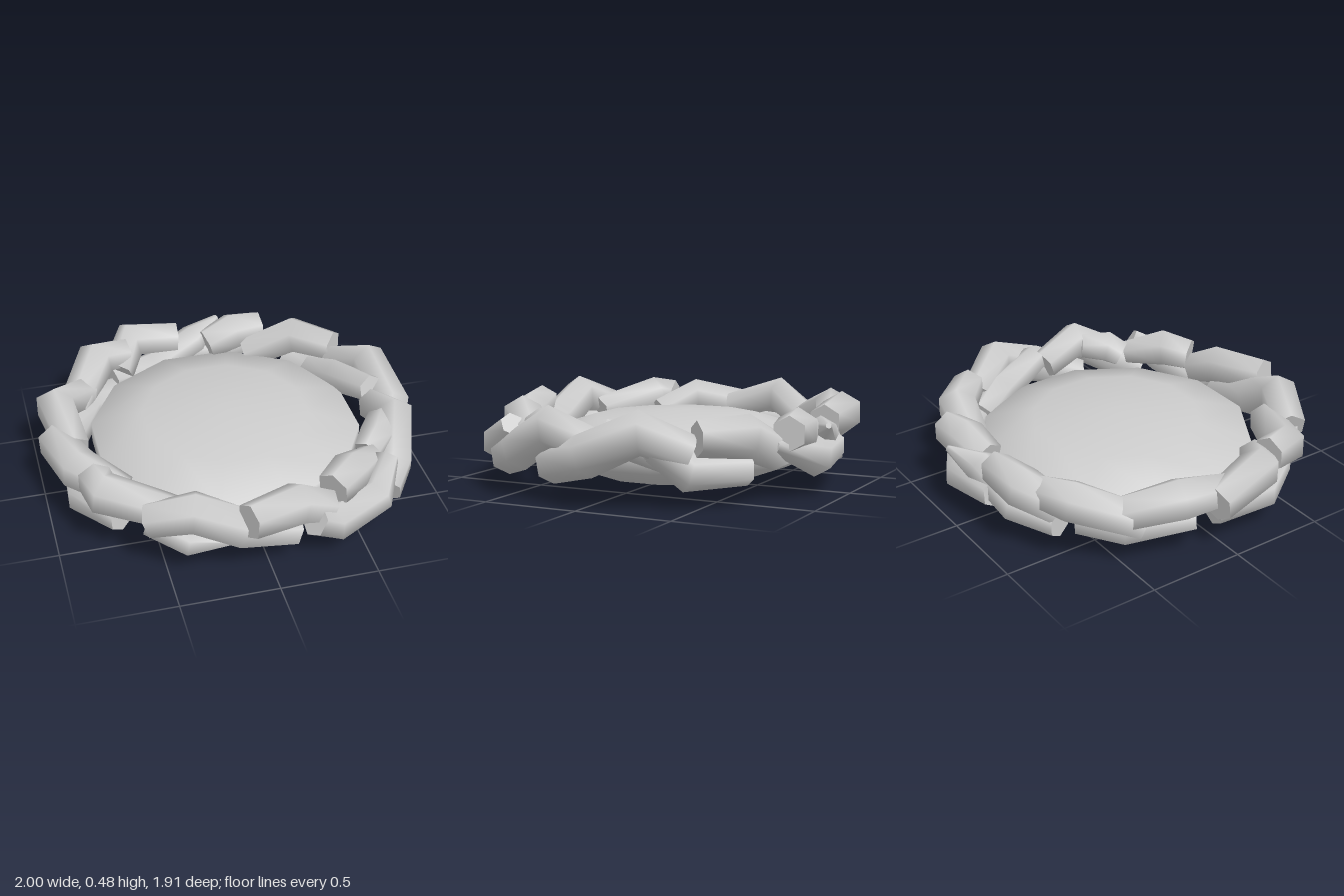
import * as THREE from 'three';

const grey = new THREE.MeshStandardMaterial({ color: 0xcccccc });
grey.name = 'pale grey';

// Six-sided bent log along a few points, with blunt capped ends
function log(points, radius, endScale = 0.88) {
  const P = points.map(p => new THREE.Vector3(...p));
  const N = 6, pos = [], idx = [], last = P.length - 1;
  const ring = i => {
    const t = P[Math.min(i + 1, last)].clone().sub(P[Math.max(i - 1, 0)]).normalize();
    const side = new THREE.Vector3().crossVectors(t, new THREE.Vector3(0, 1, 0)).normalize();
    const up = new THREE.Vector3().crossVectors(side, t);
    const r = radius * (i === last ? endScale : i === 0 ? 0.93 : 1.1);
    for (let k = 0; k < N; k++) {
      const a = (k + 0.5) / N * Math.PI * 2;
      const v = P[i].clone().addScaledVector(side, Math.cos(a) * r).addScaledVector(up, Math.sin(a) * r);
      pos.push(v.x, v.y, v.z);
    }
  };
  for (let i = 0; i <= last; i++) ring(i);
  for (let i = 0; i < last; i++) {
    for (let k = 0; k < N; k++) {
      const a = i * N + k, b = i * N + (k + 1) % N;
      idx.push(a, a + N, b, b, a + N, b + N);
    }
  }
  // End caps have their own corners so the rims stay sharp
  for (const end of [0, last]) {
    const s = pos.length / 3;
    ring(end);
    for (let k = 1; k < N - 1; k++) {
      if (end) idx.push(s, s + k + 1, s + k);
      else idx.push(s, s + k, s + k + 1);
    }
  }
  const g = new THREE.BufferGeometry();
  g.setAttribute('position', new THREE.Float32BufferAttribute(pos, 3));
  g.setIndex(idx);
  g.computeVertexNormals();
  return g;
}

export function createModel() {
  const model = new THREE.Group();
  model.name = 'nest';

  // Lining: a squashed twelve-sided ball, a little flatter on top
  const ball = new THREE.SphereGeometry(1, 12, 5).rotateY(Math.PI / 12).scale(0.75, 0.2, 0.75);
  const p = ball.attributes.position;
  for (let i = 0; i < p.count; i++) if (p.getY(i) > 0) p.setY(i, p.getY(i) * 0.85);
  const lining = new THREE.Mesh(ball, grey);
  lining.name = 'lining';
  lining.position.set(-0.015, 0.203, -0.035);
  model.add(lining);

  const add = (name, list) => {
    const group = new THREE.Group();
    group.name = name;
    list.forEach(([points, r, e], i) => {
      const m = new THREE.Mesh(log(points, r, e), grey);
      m.name = name + (i + 1);
      group.add(m);
    });
    model.add(group);
  };

  // Logs at the front
  add('frontLog', [
    [[[-0.57, 0.29, 0.68], [-0.37, 0.37, 0.77], [-0.15, 0.25, 0.79], [0.14, 0.17, 0.77]], 0.1],
    [[[-0.13, 0.35, 0.88], [0.14, 0.33, 0.78], [0.31, 0.25, 0.74]], 0.1],
    [[[0.22, 0.24, 0.82], [0.33, 0.17, 0.78], [0.58, 0.23, 0.69], [0.68, 0.34, 0.55]], 0.09, 0.7],
    [[[0.34, 0.33, 0.72], [0.46, 0.35, 0.63], [0.62, 0.3, 0.48]], 0.1, 0.7],
    [[[-0.57, 0.27, 0.66], [-0.38, 0.19, 0.75], [-0.18, 0.2, 0.83]], 0.08, 0.2],
    [[[-0.78, 0.34, 0.36], [-0.76, 0.34, 0.48], [-0.4, 0.27, 0.66]], 0.1],
  ]);

  // Logs on the model's left
  add('leftLog', [
    [[[0.66, 0.17, 0.6], [0.75, 0.23, 0.46], [0.82, 0.36, 0.24], [0.79, 0.28, 0.02]], 0.1],
    [[[0.62, 0.3, 0.44], [0.68, 0.34, 0.38], [0.75, 0.35, 0.25]], 0.085],
    [[[0.79, 0.17, 0.26], [0.9, 0.25, 0], [0.85, 0.37, -0.26], [0.72, 0.27, -0.46]], 0.1],
    [[[0.6, 0.2, -0.5], [0.7, 0.26, -0.32], [0.8, 0.34, -0.04]], 0.09],
    [[[0.28, 0.23, -0.72], [0.55, 0.34, -0.67], [0.73, 0.34, -0.5]], 0.1],
    [[[0.5, 0.18, -0.66], [0.72, 0.18, -0.45], [0.78, 0.3, -0.3]], 0.09],
  ]);

  // Logs at the back
  add('backLog', [
    [[[0.06, 0.29, -0.77], [0.22, 0.34, -0.8], [0.38, 0.34, -0.82]], 0.1],
    [[[-0.14, 0.22, -0.84], [0.15, 0.2, -0.87], [0.42, 0.28, -0.76]], 0.09, 0.4],
    [[[-0.47, 0.25, -0.69], [-0.37, 0.36, -0.82], [-0.11, 0.34, -0.82]], 0.1],
    [[[-0.5, 0.18, -0.7], [-0.25, 0.18, -0.79], [0, 0.3, -0.84], [0.16, 0.36, -0.94]], 0.08, 0.2],
  ]);

  // Logs on the model's right
  add('rightLog', [
    [[[-0.77, 0.22, -0.4], [-0.59, 0.35, -0.69], [-0.42, 0.33, -0.74]], 0.1],
    [[[-0.7, 0.26, -0.5], [-0.88, 0.36, -0.27], [-0.83, 0.28, 0.02]], 0.1],
    [[[-0.92, 0.28, -0.08], [-0.84, 0.33, 0.25], [-0.64, 0.25, 0.39]], 0.1],
    [[[-0.82, 0.17, -0.02], [-0.83, 0.18, 0.28], [-0.68, 0.2, 0.52]], 0.085],
    [[[-0.52, 0.18, -0.6], [-0.7, 0.18, -0.46], [-0.83, 0.2, -0.15]], 0.09],
  ]);

  return model;
}
